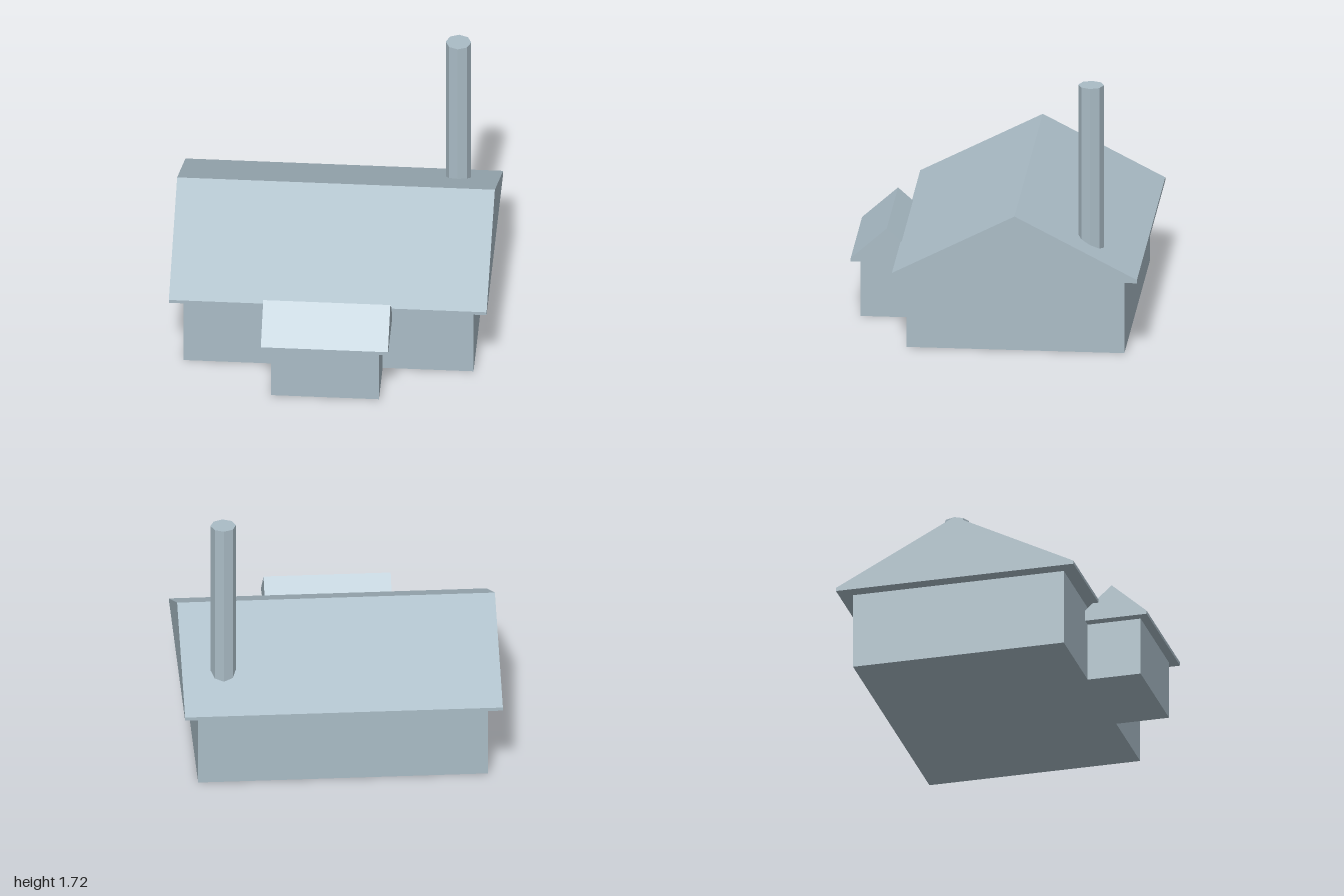
import * as THREE from 'three';

export function createModel() {
  const group = new THREE.Group();
  const paint = new THREE.MeshStandardMaterial({ color: 0xaabcc6 });
  paint.name = 'pale blue grey';

  const add = (name, geometry) => {
    const mesh = new THREE.Mesh(geometry, paint);
    mesh.name = name;
    group.add(mesh);
    return mesh;
  };

  // Walls: a box standing on the ground
  const walls = (name, width, height, zBack, zFront) =>
    add(name, new THREE.BoxGeometry(width, height, zFront - zBack))
      .position.set(0, height / 2, (zBack + zFront) / 2);

  // Gabled roof: a (z, y) cross-section extruded along x
  const roof = (name, width, profile) => {
    const shape = new THREE.Shape(profile.map(([z, y]) => new THREE.Vector2(z, y)));
    const geometry = new THREE.ExtrudeGeometry(shape, { depth: width, bevelEnabled: false });
    geometry.translate(0, 0, -width / 2).rotateY(-Math.PI / 2);
    add(name, geometry);
  };

  // Main house
  walls('mainWalls', 1.824, 0.496, -0.842, 0.53);
  roof('mainRoof', 2, [
    [-0.929, 0.496], [0.616, 0.496], [0.616, 0.518], [-0.157, 0.916], [-0.929, 0.518],
  ]);

  // Entrance porch, its roof running into the front wall
  walls('porchWalls', 0.68, 0.381, 0.5, 0.874);
  roof('porchRoof', 0.8, [
    [0.53, 0.381], [0.929, 0.381], [0.929, 0.403], [0.702, 0.606], [0.53, 0.453],
  ]);

  // Eight-sided chimney rising through the back slope
  const chimney = new THREE.CylinderGeometry(0.08, 0.08, 1.165, 8).toNonIndexed();
  chimney.computeVertexNormals();
  add('chimney', chimney).position.set(0.74, 1.1325, -0.617);

  return group;
}
